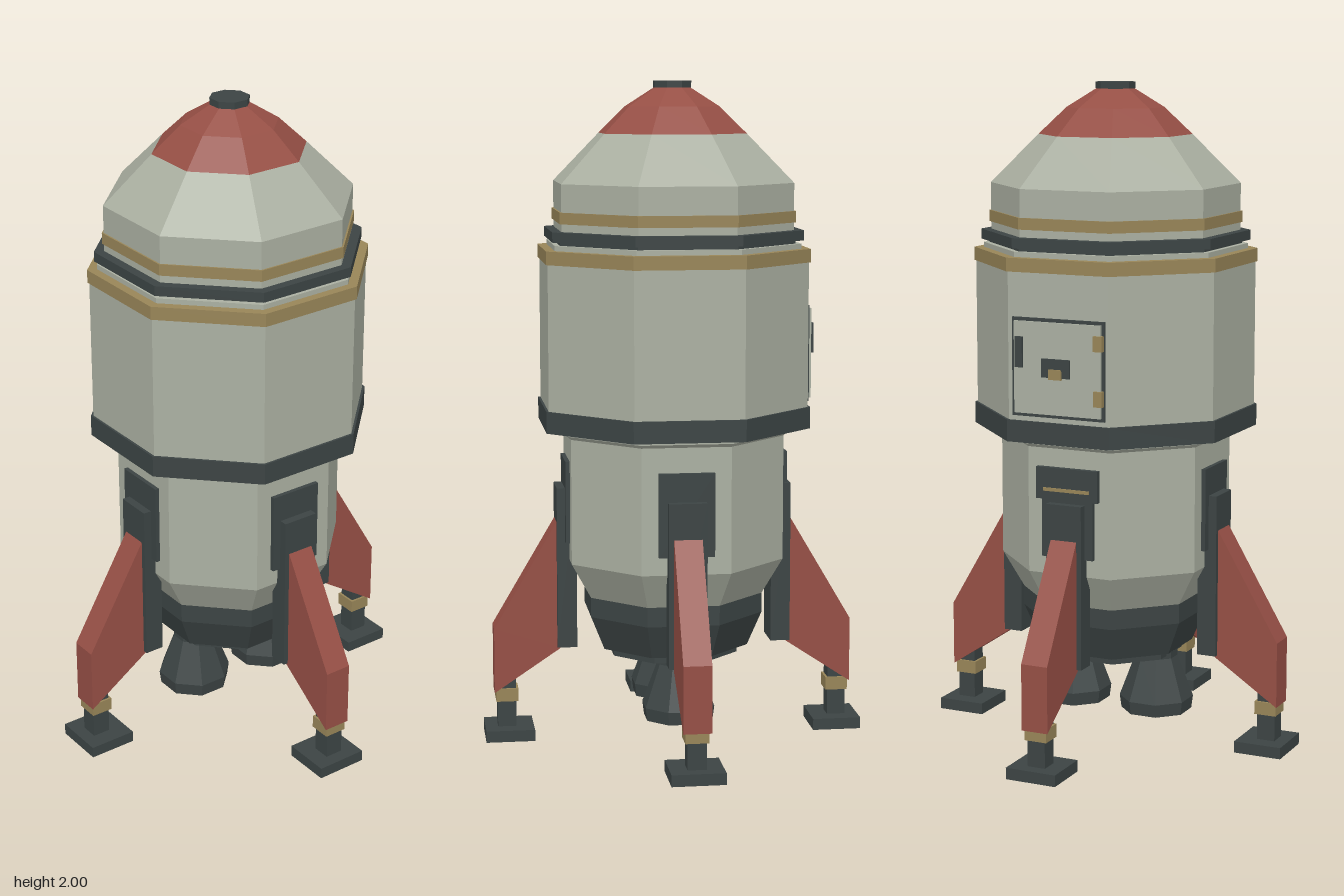
import * as THREE from 'three';

const material = (name, color) => {
  const m = new THREE.MeshStandardMaterial({ color });
  m.name = name;
  return m;
};

export function createModel() {
  const hullGrey = material('hull grey', 0xabb0a2);
  const red = material('rust red', 0x964f45);
  const dark = material('dark slate', 0x3c4444);
  const gold = material('dull gold', 0x988558);

  const model = new THREE.Group();
  model.name = 'rocket';

  const add = (parent, name, geometry, mat, x = 0, y = 0, z = 0) => {
    const mesh = new THREE.Mesh(geometry, mat);
    mesh.name = name;
    mesh.position.set(x, y, z);
    parent.add(mesh);
    return mesh;
  };

  // Box given by its min and max corners
  const box = (parent, name, mat, [x0, y0, z0], [x1, y1, z1]) =>
    add(parent, name, new THREE.BoxGeometry(x1 - x0, y1 - y0, z1 - z0), mat,
      (x0 + x1) / 2, (y0 + y1) / 2, (z0 + z1) / 2);

  // Faceted eight-sided solid; profile is [distance to flat, height], bottom to top
  const octagon = (profile) => {
    const pts = profile.map(([a, y]) => new THREE.Vector2(a / Math.cos(Math.PI / 8), y));
    const g = new THREE.LatheGeometry(pts, 8, Math.PI / 8).toNonIndexed();
    g.computeVertexNormals();
    return g;
  };
  const section = (name, mat, profile) => add(model, name, octagon(profile), mat);
  const ring = (name, mat, a, y0, y1) =>
    section(name, mat, [[0, y0], [a, y0], [a, y1], [0, y1]]);

  // Body sections from the bottom up
  ring('enginePlate', dark, 0.19, 0.26, 0.29);
  section('engineSkirt', dark, [[0, 0.285], [0.22, 0.285], [0.262, 0.39], [0.262, 0.45], [0, 0.45]]);
  section('lowerHull', hullGrey, [[0, 0.45], [0.262, 0.45], [0.322, 0.56], [0.322, 0.94],
    [0.332, 0.95], [0.332, 0.97], [0, 0.97]]);
  ring('baseRing', dark, 0.397, 0.965, 1.03);
  ring('mainHull', hullGrey, 0.39, 1.03, 1.465);
  ring('lowerGoldBand', gold, 0.395, 1.465, 1.505);
  ring('neckStep', hullGrey, 0.368, 1.505, 1.52);
  ring('neckGap', dark, 0.352, 1.52, 1.53);
  ring('neckRing', dark, 0.375, 1.53, 1.56);
  section('upperHull', hullGrey, [[0, 1.56], [0.347, 1.56], [0.347, 1.70], [0.213, 1.845], [0, 1.845]]);
  ring('upperGoldBand', gold, 0.352, 1.583, 1.617);
  section('noseCone', red, [[0, 1.845], [0.213, 1.845], [0.135, 1.925], [0.05, 1.982], [0, 1.982]]);
  ring('noseCap', dark, 0.055, 1.98, 2.0);

  // Two engine bells side by side
  for (const side of [-1, 1]) {
    add(model, 'engineBell', octagon([[0, 0.11], [0.085, 0.08], [0.1, 0.08], [0.105, 0.12],
      [0.06, 0.25], [0.06, 0.27], [0, 0.27]]), dark, side * 0.14);
  }

  // Four fins with landing feet, built pointing along +x
  const finShape = new THREE.Shape([[0.35, 0.28], [0.553, 0.145], [0.553, 0.345], [0.35, 0.69]]
    .map(([x, y]) => new THREE.Vector2(x, y)));
  for (let i = 0; i < 4; i++) {
    const leg = new THREE.Group();
    leg.name = 'landingLeg';
    leg.rotation.y = i * Math.PI / 2;
    model.add(leg);
    const fin = new THREE.ExtrudeGeometry(finShape, { depth: 0.084, bevelEnabled: false });
    add(leg, 'fin', fin, red, 0, 0, -0.042);
    box(leg, 'mountPlate', dark, [0.29, 0.615, -0.083], [0.335, 0.865, 0.083]);
    box(leg, 'finRail', dark, [0.3, 0.285, -0.057], [0.36, 0.78, 0.057]);
    box(leg, 'footStrut', dark, [0.487, 0.03, -0.028], [0.543, 0.19, 0.028]);
    box(leg, 'strutCollar', gold, [0.48, 0.115, -0.035], [0.548, 0.155, 0.035]);
    box(leg, 'footPad', dark, [0.433, 0, -0.08], [0.582, 0.035, 0.08]);
  }

  // Rear door with frame, hinges, handle and latch
  const door = new THREE.Group();
  door.name = 'rearDoor';
  model.add(door);
  box(door, 'doorFrame', dark, [-0.152, 1.045, -0.396], [0.146, 1.335, -0.38]);
  box(door, 'doorPanel', hullGrey, [-0.142, 1.055, -0.404], [0.136, 1.325, -0.38]);
  for (const y of [1.09, 1.25]) {
    box(door, 'doorHinge', gold, [-0.15, y, -0.412], [-0.122, y + 0.045, -0.39]);
  }
  box(door, 'doorHandle', dark, [0.106, 1.19, -0.412], [0.13, 1.28, -0.39]);
  box(door, 'latchPlate', dark, [-0.045, 1.165, -0.409], [0.045, 1.22, -0.39]);
  box(door, 'latch', gold, [-0.02, 1.16, -0.413], [0.02, 1.19, -0.39]);

  // Small service panel below the door
  box(model, 'servicePanel', dark, [-0.1, 0.79, -0.34], [0.1, 0.885, -0.31]);
  box(model, 'servicePanelStripe', gold, [-0.075, 0.815, -0.344], [0.075, 0.825, -0.336]);

  return model;
}
